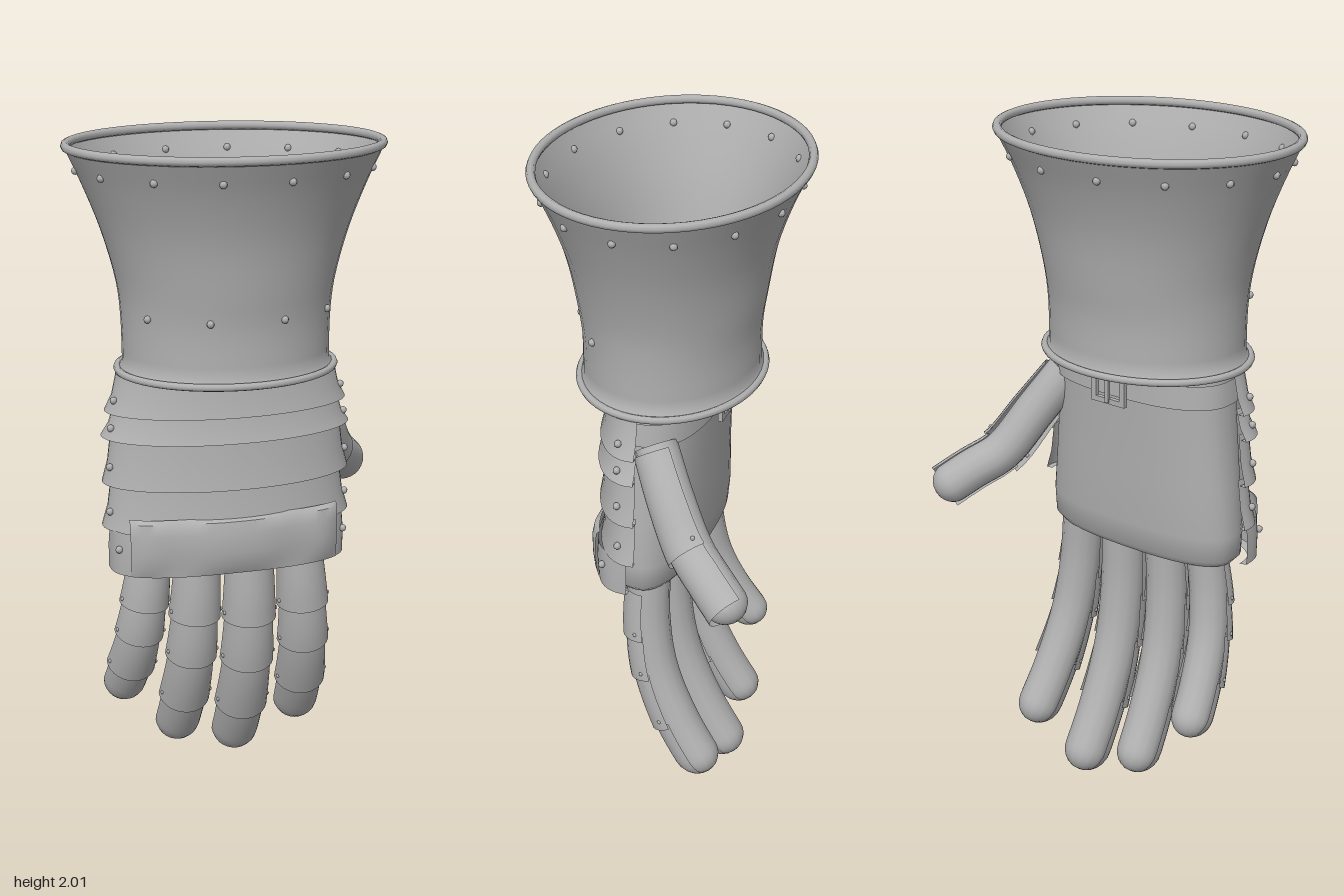
import * as THREE from 'three';
import { mergeVertices, toCreasedNormals } from 'three/addons/utils/BufferGeometryUtils.js';

const V = (x, y, z) => new THREE.Vector3(x, y, z);
const lerp = THREE.MathUtils.lerp;

export function createModel() {
  const root = new THREE.Group();
  root.name = 'gauntlet';
  const steel = new THREE.MeshStandardMaterial({ color: 0xb0b0b0, side: THREE.DoubleSide });
  steel.name = 'grey steel';

  const add = (geo, name, parent = root) => {
    const m = new THREE.Mesh(geo, steel);
    m.name = name;
    parent.add(m);
    return m;
  };

  // Skin a surface through rows of points
  const skin = (rows) => {
    const n = rows[0].length, idx = [];
    for (let i = 0; i < rows.length - 1; i++) {
      for (let j = 0; j < n - 1; j++) {
        const a = i * n + j, b = a + 1, c = a + n, d = c + 1;
        idx.push(a, c, b, b, c, d);
      }
    }
    const geo = new THREE.BufferGeometry().setFromPoints(rows.flat());
    geo.setIndex(idx);
    return toCreasedNormals(mergeVertices(geo, 1e-5), 0.8);
  };

  // Point on a (rounded-box) ellipse; angle 0 faces the front
  const pow = (v, e) => Math.sign(v) * Math.abs(v) ** e;
  const oval = (a, y, rx, rz, cx, cz, e = 1) =>
    V(cx + rx * pow(Math.sin(a), e), y, cz + rz * pow(Math.cos(a), e));
  const arc = (from, to, n, fn) =>
    Array.from({ length: n + 1 }, (_, i) => fn(lerp(from, to, i / n)));
  // Rows are [y, rx, rz]
  const ovalSkin = (rows, cx, cz, from = -Math.PI, to = Math.PI, n = 40, e = 1) =>
    skin(rows.map(([y, rx, rz]) => arc(from, to, n, (a) => oval(a, y, rx, rz, cx, cz, e))));

  const rivetGeo = new THREE.SphereGeometry(0.011, 8, 6);
  const rivet = (p, parent) => add(rivetGeo, 'rivet', parent).position.copy(p);

  // Flared cuff with rolled rims
  const CX = -0.04, CZ = 0.02;
  const cuff = new THREE.Group();
  cuff.name = 'cuff';
  root.add(cuff);
  const profile = new THREE.CatmullRomCurve3([
    V(1.37, 0.303, 0.25), V(1.5, 0.305, 0.25), V(1.6, 0.315, 0.263),
    V(1.75, 0.355, 0.287), V(1.88, 0.405, 0.328), V(1.98, 0.45, 0.372),
  ]);
  const wall = profile.getPoints(20).map((p) => p.toArray());
  add(ovalSkin([[1.345, 0.322, 0.264], [1.355, 0.316, 0.258], ...wall], CX, CZ), 'cuffWall', cuff);
  const rim = (y, rx, rz, r, name) => {
    const path = new THREE.CatmullRomCurve3(
      arc(0, Math.PI * 2, 32, (a) => oval(a, y, rx, rz, CX, CZ)).slice(0, -1), true);
    add(new THREE.TubeGeometry(path, 64, r, 8, true), name, cuff);
  };
  rim(1.987, 0.447, 0.368, 0.013, 'upperRim');
  rim(1.352, 0.318, 0.26, 0.011, 'lowerRim');
  for (let i = 0; i < 14; i++) {
    rivet(oval((i + 0.5) * Math.PI / 7, 1.925, 0.425, 0.347, CX, CZ), cuff);
  }
  for (const a of [-1, -0.35, 0.35, 1]) rivet(oval(a, 1.53, 0.309, 0.254, CX, CZ), cuff);

  // Glove covering the palm, closed at the knuckles
  add(ovalSkin([
    [1.34, 0.285, 0.145], [1.2, 0.295, 0.138], [1.0, 0.315, 0.13],
    [0.85, 0.33, 0.127], [0.775, 0.328, 0.12], [0.755, 0.31, 0.105], [0.75, 0, 0],
  ], CX, 0.02, -Math.PI, Math.PI, 40, 0.8), 'glovePalm');

  // Overlapping bands over the back of the hand
  const bands = new THREE.Group();
  bands.name = 'handBands';
  root.add(bands);
  const band = (y1, y0, rx1, rx0, rz1, rz0) => {
    const mid = [lerp(y1, y0, 0.6), lerp(rx1, rx0, 0.4), lerp(rz1, rz0, 0.4)];
    add(ovalSkin([[y1, rx1, rz1], mid, [y0, rx0, rz0], [y0, rx0 - 0.02, rz0 - 0.02]],
      CX, 0.02, -1.7, 1.7, 28), 'handBand', bands);
    for (const s of [-1, 1]) {
      rivet(oval(s * 1.38, lerp(y1, y0, 0.65), mid[1] + 0.007, mid[2] + 0.005, CX, 0.02), bands);
    }
  };
  band(1.345, 1.235, 0.325, 0.362, 0.155, 0.172);
  band(1.25, 1.16, 0.335, 0.374, 0.158, 0.178);
  band(1.175, 1.02, 0.345, 0.374, 0.158, 0.176);
  band(1.035, 0.885, 0.347, 0.377, 0.155, 0.174);

  // Knuckle plate: raised middle with lower tabs at both ends
  const knuckle = new THREE.Group();
  knuckle.name = 'knucklePlate';
  root.add(knuckle);
  add(ovalSkin([[0.89, 0.352, 0.145], [0.83, 0.357, 0.15], [0.76, 0.357, 0.145], [0.755, 0.33, 0.12]],
    -0.045, 0.04, -1.6, 1.6, 32, 0.75), 'knuckleBase', knuckle);
  const bump = (a) => 0.006 * Math.cos(a * 8);
  add(skin([[0.935, 0.135], [0.925, 0.152], [0.89, 0.161], [0.83, 0.16], [0.79, 0.154], [0.76, 0.145]]
    .map(([y, rz], i) => arc(-0.98, 0.98, 32, (a) =>
      oval(a, y, 0.36, rz + (i > 0 && i < 5 ? bump(a) : 0), -0.045, 0.04, 0.75)))),
  'knuckleRidge', knuckle);
  for (const s of [-1, 1]) rivet(oval(s * 1.2, 0.84, 0.36, 0.155, -0.045, 0.04, 0.75), knuckle);

  // Wrist strap and buckle
  add(ovalSkin([[1.32, 0.293, 0.15], [1.25, 0.3, 0.152]], CX, 0.02, 1.4, Math.PI * 2 - 1.4, 30, 0.8), 'wristStrap');
  const frame = new THREE.Shape([[-0.06, -0.05], [0.06, -0.05], [0.06, 0.05], [-0.06, 0.05]]
    .map((p) => new THREE.Vector2(...p)));
  frame.holes.push(new THREE.Path([[-0.042, -0.034], [-0.042, 0.034], [0.042, 0.034], [0.042, -0.034]]
    .map((p) => new THREE.Vector2(...p))));
  add(new THREE.ExtrudeGeometry(frame, { depth: 0.014, bevelEnabled: false }), 'buckleFrame')
    .position.set(-0.035, 1.283, -0.157);
  add(new THREE.BoxGeometry(0.012, 0.09, 0.01), 'bucklePin').position.set(-0.035, 1.283, -0.157);

  // Digit: padded tube plus half-round plates along its outer side
  const digit = (name, pts, outer, r, breaks) => {
    const g = new THREE.Group();
    g.name = name;
    root.add(g);
    const curve = new THREE.CatmullRomCurve3(pts);
    const ring = (t, rad, from, to, n) => {
      const P = curve.getPoint(t), T = curve.getTangent(t);
      const N = outer.clone().addScaledVector(T, -outer.dot(T)).normalize();
      const S = T.clone().cross(N);
      return arc(from, to, n, (a) =>
        P.clone().addScaledVector(N, rad * Math.cos(a)).addScaledVector(S, rad * Math.sin(a)));
    };
    const len = curve.getLength();
    const tip = (t, rad) => {
      const k = Math.max(0, 1 - (1 - t) * len / rad);
      return rad * Math.sqrt(Math.max(0, 1 - k * k));
    };
    const tube = [ring(0, 0, -Math.PI, Math.PI, 14)];
    for (let i = 0; i <= 32; i++) {
      const t = 1 - (1 - i / 32) ** 1.5;
      tube.push(ring(t, tip(t, r), -Math.PI, Math.PI, 14));
    }
    add(skin(tube), name + 'Padding', g);
    for (let k = 0; k < breaks.length - 1; k++) {
      const t0 = breaks[k] - (k ? 0.02 : 0), t1 = breaks[k + 1], last = k === breaks.length - 2;
      const rows = [];
      for (let i = 0; i <= 10; i++) {
        const f = last ? 1 - (1 - i / 10) ** 2 : i / 10;
        const t = lerp(t0, t1, f);
        const rad = r + lerp(0.008, last ? 0.009 : 0.018, f);
        rows.push(ring(t, last && t1 === 1 ? Math.max(tip(t, rad), 0.002) : rad, -1.65, 1.65, 14));
      }
      add(skin(rows), name + 'Plate', g);
      if (!last) {
        const q = ring(lerp(t0, t1, 0.85), r + 0.015, -1.35, 1.35, 1);
        q.forEach((p) => add(rivetGeo, 'rivet', g).position.copy(p));
        g.children.slice(-2).forEach((m) => m.scale.setScalar(0.6));
      }
    }
  };

  // Four fingers, curling backwards: base x, tip x, y, z, radius
  [
    ['littleFinger', -0.27, -0.338, 0.25, -0.18, 0.058],
    ['ringFinger', -0.125, -0.158, 0.07, -0.21, 0.063],
    ['middleFinger', 0.035, 0.038, 0.005, -0.225, 0.067],
    ['indexFinger', 0.19, 0.245, 0.095, -0.215, 0.064],
  ].forEach(([name, x0, x1, y1, z1, r]) => {
    const bend = [0, 0.02, 0.16, 0.5, 1];
    const pts = [0, 0.28, 0.52, 0.76, 1].map((f, i) =>
      V(lerp(x0, x1, f), lerp(0.8, y1, f), 0.005 + z1 * bend[i]));
    digit(name, pts, V(0, 0, 1), r, [0.09, 0.3, 0.5, 0.74, 1]);
  });

  // Thumb
  digit('thumb', [V(0.22, 1.24, -0.03), V(0.285, 1.12, -0.105), V(0.345, 1.0, -0.19), V(0.4, 0.95, -0.27), V(0.46, 0.89, -0.365)],
    V(0.7, 0, 0.6), 0.062, [0.03, 0.52, 0.94]);

  return root;
}
